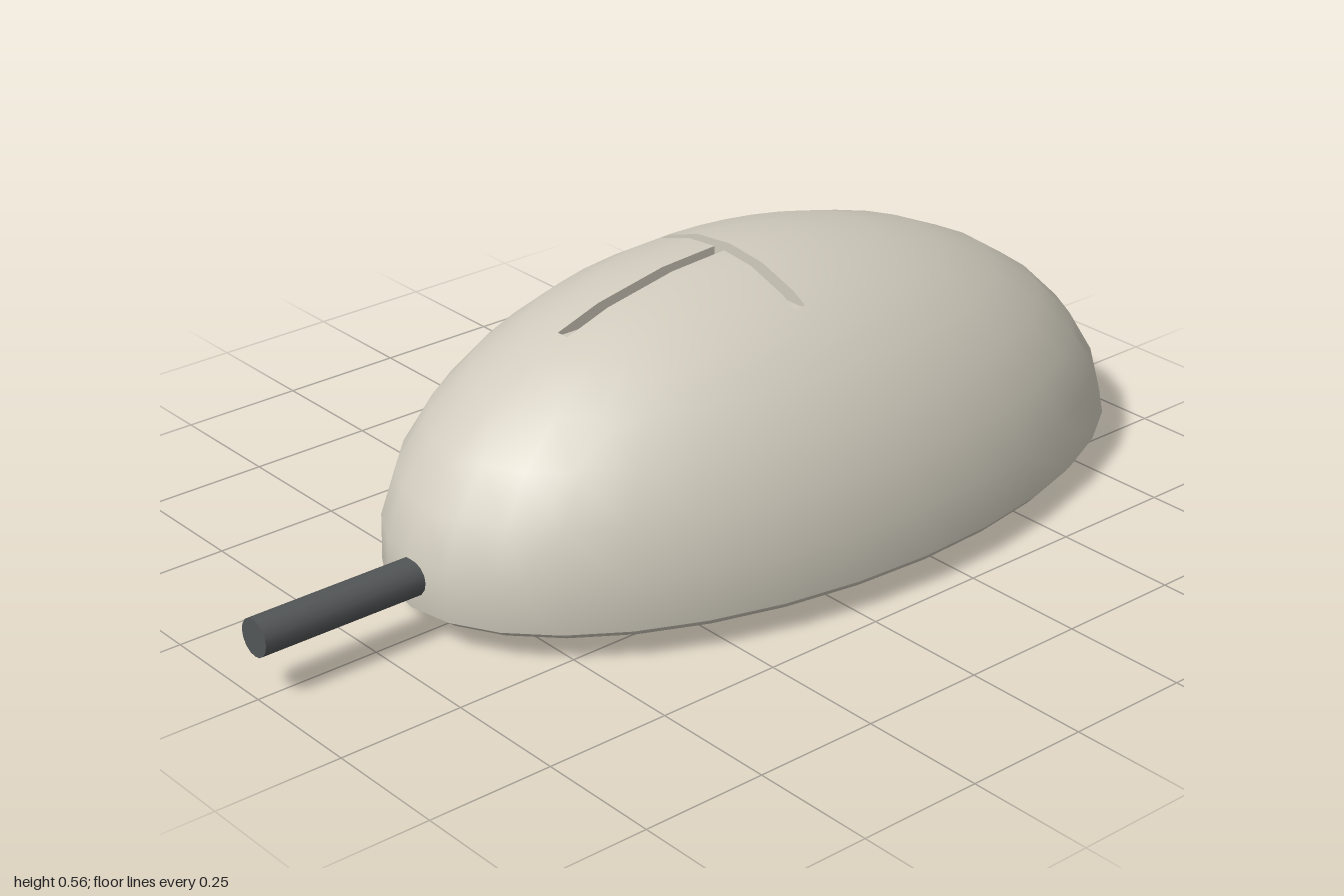
import * as THREE from 'three';
import { mergeVertices } from 'three/addons/utils/BufferGeometryUtils.js';

const HALF_W = 0.463, HALF_L = 0.835, RIM_Y = 0.065, MID_Z = -0.165;

// Grooves in the top, as plan rectangles with a floor height
const GROOVES = [
  { x0: -0.208, x1: -0.0135, z0: -0.084, z1: -0.058, floor: 0.5 },
  { x0: 0.0135, x1: 0.208, z0: -0.084, z1: -0.058, floor: 0.5 },
  { x0: -0.0135, x1: 0.0135, z0: -0.084, z1: 0.315, floor: 0.486 },
];

// Split a convex polygon by a signed distance function
function split(poly, dist) {
  const inside = [], outside = [];
  poly.forEach((a, i) => {
    const b = poly[(i + 1) % poly.length];
    const da = dist(a.p), db = dist(b.p);
    if (da >= 0) inside.push(a);
    if (da <= 0) outside.push(a);
    if (da * db < 0) {
      const t = da / (da - db);
      const c = { p: a.p.clone().lerp(b.p, t), n: a.n.clone().lerp(b.n, t).normalize() };
      inside.push(c);
      outside.push(c);
    }
  });
  return [inside, outside];
}

const sides = (g) => [(p) => p.x - g.x0, (p) => g.x1 - p.x, (p) => p.z - g.z0, (p) => g.z1 - p.z];

// Collects polygons as triangle fans
function builder() {
  const pos = [], nor = [];
  return {
    add(poly) {
      for (let i = 1; i + 1 < poly.length; i++) {
        for (const v of [poly[0], poly[i], poly[i + 1]]) {
          pos.push(...v.p.toArray());
          nor.push(...v.n.toArray());
        }
      }
    },
    geometry() {
      const g = new THREE.BufferGeometry();
      g.setAttribute('position', new THREE.Float32BufferAttribute(pos, 3));
      g.setAttribute('normal', new THREE.Float32BufferAttribute(nor, 3));
      return g;
    },
  };
}

// Floor and walls below one piece of removed surface
function lineGroove(out, poly, groove) {
  const up = new THREE.Vector3(0, 1, 0);
  const atY = (p, y) => new THREE.Vector3(p.x, y, p.z);
  out.add(poly.map((v) => ({ p: atY(v.p, groove.floor), n: up })));
  poly.forEach((v, i) => {
    const a = v.p, b = poly[(i + 1) % poly.length].p;
    const onSide = sides(groove).some((d) => Math.abs(d(a)) < 1e-6 && Math.abs(d(b)) < 1e-6);
    if (!onSide || a.distanceTo(b) < 1e-6) return;
    const outward = new THREE.Vector3(a.z - b.z, 0, b.x - a.x).normalize();
    const probe = a.clone().add(b).multiplyScalar(0.5).addScaledVector(outward, 1e-4);
    const next = GROOVES.find((g) => g !== groove && sides(g).every((d) => d(probe) > 0));
    if (next && next.floor <= groove.floor) return;
    const n = outward.negate();
    const top = (p) => (next ? atY(p, next.floor) : p);
    out.add([top(a), top(b), atY(b, groove.floor), atY(a, groove.floor)].map((p) => ({ p, n })));
  });
}

// Upper shell: half ellipsoid sheared forward, with the grooves cut out
function shellGeometries() {
  const dome = new THREE.SphereGeometry(1, 32, 8, 0, Math.PI * 2, 0, Math.PI / 2);
  dome.applyMatrix4(new THREE.Matrix4().set(
    HALF_W, 0, 0, 0,
    0, 0.497, 0, RIM_Y,
    0, 0.075, HALF_L, MID_Z,
    0, 0, 0, 1));
  const flat = dome.toNonIndexed();
  const { position, normal } = flat.attributes;
  const shell = builder(), lining = builder();
  for (let i = 0; i < position.count; i += 3) {
    let pieces = [[0, 1, 2].map((k) => ({
      p: new THREE.Vector3().fromBufferAttribute(position, i + k),
      n: new THREE.Vector3().fromBufferAttribute(normal, i + k),
    }))];
    for (const groove of GROOVES) {
      const kept = [];
      for (const piece of pieces) {
        let rest = piece;
        for (const dist of [...sides(groove), (p) => p.y - groove.floor]) {
          const [inside, outside] = split(rest, dist);
          if (outside.length > 2) kept.push(outside);
          rest = inside;
          if (rest.length < 3) break;
        }
        if (rest.length > 2) lineGroove(lining, rest, groove);
      }
      pieces = kept;
    }
    pieces.forEach((p) => shell.add(p));
  }
  return [shell.geometry(), lining.geometry()];
}

// Shallow rounded underside
function undersideGeometry() {
  let g = new THREE.SphereGeometry(1, 32, 8, 0, Math.PI * 2, Math.PI / 2, Math.PI / 2);
  g.scale(HALF_W, 0.063, HALF_L).translate(0, RIM_Y, MID_Z);
  g.deleteAttribute('uv');
  g.deleteAttribute('normal');
  g = mergeVertices(g, 1e-4);
  g.computeVertexNormals();
  return g;
}

export function createModel() {
  const model = new THREE.Group();
  const cream = new THREE.MeshStandardMaterial({ color: 0xd0cbbd });
  cream.name = 'warm grey plastic';
  const dark = new THREE.MeshStandardMaterial({ color: 0x535657 });
  dark.name = 'dark grey rubber';

  const add = (name, geometry, material) => {
    const mesh = new THREE.Mesh(geometry, material);
    mesh.name = name;
    model.add(mesh);
    return mesh;
  };

  const [shell, lining] = shellGeometries();
  add('upperShell', shell, cream);
  add('buttonGrooves', lining, cream);
  add('underside', undersideGeometry(), cream);

  // Cable leaving the front
  const cable = add('cable', new THREE.CylinderGeometry(0.037, 0.037, 0.45, 16), dark);
  cable.rotation.x = Math.PI / 2;
  cable.position.set(0, 0.125, 0.775);

  return model;
}
